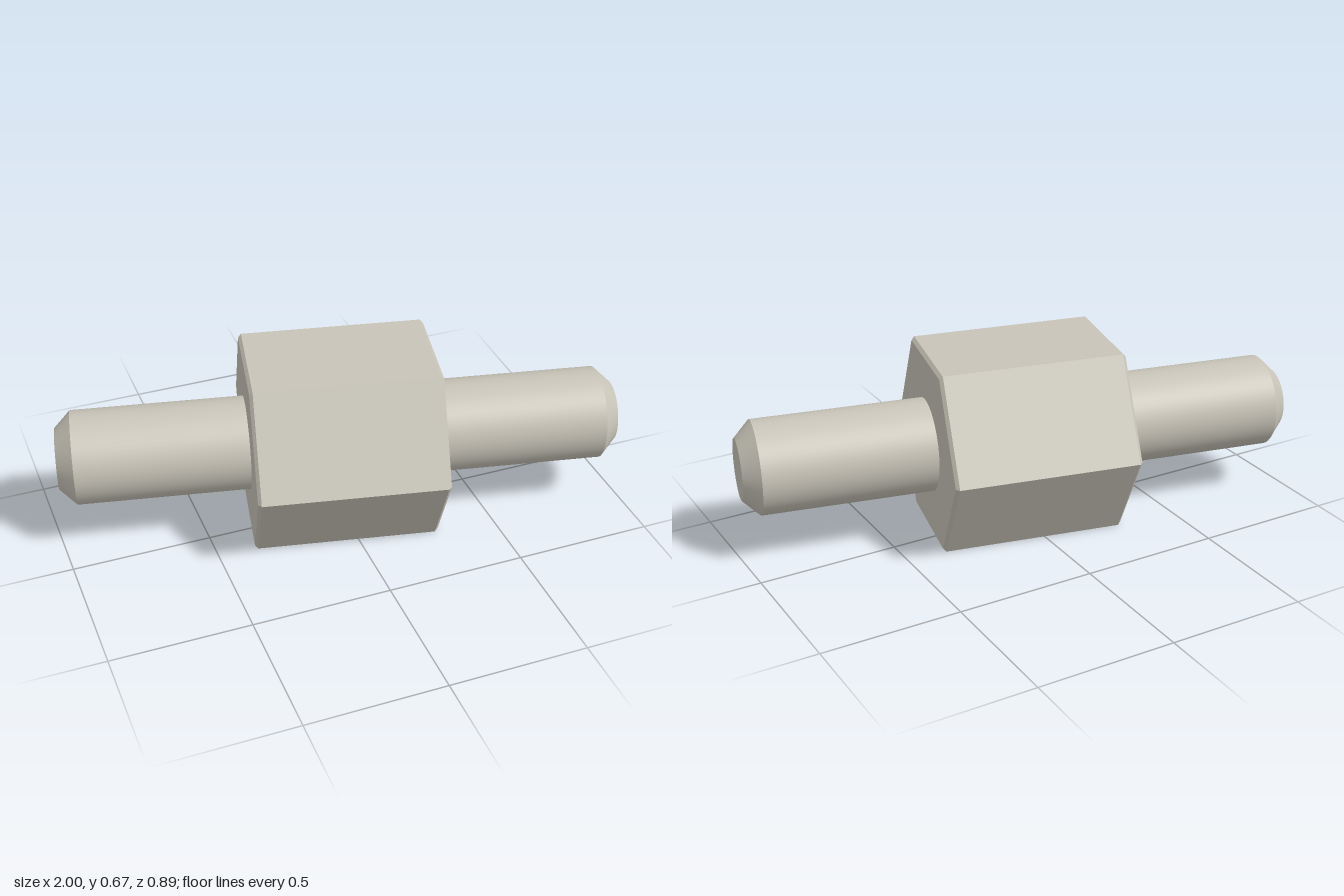
import * as THREE from 'three';
import { toCreasedNormals } from 'three/addons/utils/BufferGeometryUtils.js';

// Turned solid along the x axis from [radius, position] pairs, with crisp edges
function turned(profile, sides) {
  const points = profile.map(([r, x]) => new THREE.Vector2(r, x));
  const geometry = new THREE.LatheGeometry(points, sides).rotateZ(-Math.PI / 2);
  return toCreasedNormals(geometry, 0.5);
}

export function createModel() {
  const model = new THREE.Group();
  model.name = 'hexStandoff';
  const metal = new THREE.MeshStandardMaterial({ color: 0xc8c4b8 });
  metal.name = 'warm grey metal';

  const apothem = 1 / 3;
  const half = 1 / 3; // half length of the hexagonal body
  const bevel = 0.0115;
  const corner = 2 / Math.sqrt(3); // corner radius per unit of apothem

  const axis = new THREE.Group();
  axis.name = 'spindle';
  axis.position.y = apothem;
  axis.rotation.y = -THREE.MathUtils.degToRad(12);
  model.add(axis);

  // Hexagonal body with small bevels around both end faces
  const outer = apothem * corner;
  const inner = (apothem - bevel) * corner;
  const body = new THREE.Mesh(turned([
    [0, -half], [inner, -half], [outer, -half + bevel],
    [outer, half - bevel], [inner, half], [0, half],
  ], 6), metal);
  body.name = 'hexBody';
  axis.add(body);

  // Chamfered round stud on each end
  const radius = 1 / 6;
  const chamfer = 0.058;
  const studGeometry = turned([
    [radius, half - 0.01], [radius, 1 - chamfer], [radius - chamfer, 1], [0, 1],
  ], 64);
  for (const [name, turn] of [['leftStud', 0], ['rightStud', Math.PI]]) {
    const stud = new THREE.Mesh(studGeometry, metal);
    stud.name = name;
    stud.rotation.y = turn;
    axis.add(stud);
  }
  return model;
}
